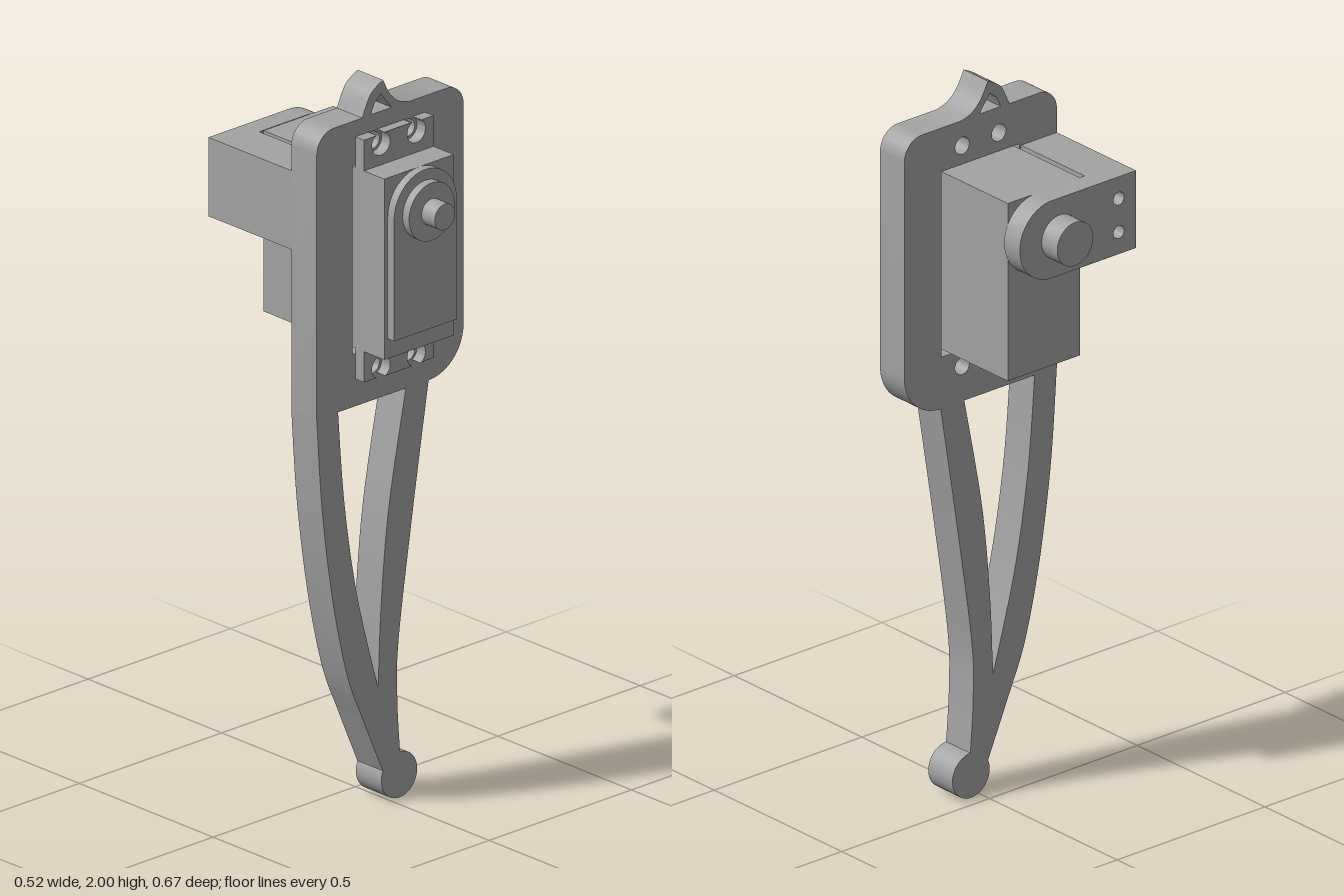
import * as THREE from 'three';
import { toCreasedNormals } from 'three/addons/utils/BufferGeometryUtils.js';

const grey = new THREE.MeshStandardMaterial({ color: 0xa3a3a3 });
grey.name = 'plain grey';

const AXIS_Y = 1.677; // height of the servo shaft
const MID_Y = 1.535;  // middle of the servo body

function add(parent, name, geometry) {
  const mesh = new THREE.Mesh(geometry, grey);
  mesh.name = name;
  parent.add(mesh);
  return mesh;
}

// Extrude a shape between two depths
function slab(parent, name, shape, z0, z1) {
  const g = new THREE.ExtrudeGeometry(shape, { depth: z1 - z0, bevelEnabled: false, curveSegments: 20 });
  g.translate(0, 0, z0);
  return add(parent, name, toCreasedNormals(g, 0.5));
}

function box(parent, name, x0, x1, y0, y1, z0, z1) {
  const g = new THREE.BoxGeometry(x1 - x0, y1 - y0, z1 - z0);
  g.translate((x0 + x1) / 2, (y0 + y1) / 2, (z0 + z1) / 2);
  return add(parent, name, g);
}

function disc(parent, name, x, y, r, z0, z1) {
  const g = new THREE.CylinderGeometry(r, r, z1 - z0, 48);
  g.rotateX(Math.PI / 2);
  g.translate(x, y, (z0 + z1) / 2);
  return add(parent, name, g);
}

const pts = (...list) => list.map(([x, y]) => new THREE.Vector2(x, y));
const circle = (x, y, r) => new THREE.Path().absarc(x, y, r, 0, Math.PI * 2, false);

// Mounting plate, hook and the two leg struts in one outline
function legFrame(parent) {
  const s = new THREE.Shape();
  s.moveTo(-0.258, 1.125);
  s.splineThru(pts([-0.238, 0.862], [-0.2, 0.6], [-0.15, 0.386], [-0.093, 0.245], [-0.026, 0.09]));
  s.lineTo(0.035, 0.12);
  s.splineThru(pts([0.025, 0.28], [0.03, 0.44], [0.08, 0.783], [0.135, 1.125]));
  s.absarc(0.135, 1.248, 0.123, -Math.PI / 2, 0, false);
  s.absarc(0.198, 1.855, 0.06, 0, Math.PI / 2, false);
  s.lineTo(0.065, 1.915);
  s.splineThru(pts([0.03, 1.927], [0, 1.955], [-0.025, 2]));
  s.splineThru(pts([-0.068, 1.973], [-0.098, 1.915]));
  s.absarc(-0.198, 1.855, 0.06, Math.PI / 2, Math.PI, false);
  s.closePath();

  const servoWindow = new THREE.Path(pts([-0.132, 1.27], [0.132, 1.27], [0.132, 1.792], [-0.132, 1.792]));
  const legGap = new THREE.Path();
  legGap.moveTo(-0.183, 1.125);
  legGap.splineThru(pts([-0.16, 0.862], [-0.116, 0.6], [-0.042, 0.323]));
  legGap.splineThru(pts([-0.032, 0.545], [-0.005, 0.81], [0.055, 1.125]));
  legGap.closePath();
  const hookGap = new THREE.Path(pts([-0.068, 1.916], [0.005, 1.916], [-0.032, 1.964], [-0.055, 1.945]));
  s.holes.push(servoWindow, legGap, hookGap);
  for (const x of [-0.062, 0.062])
    for (const y of [1.224, 1.844]) s.holes.push(circle(x, y, 0.024));

  slab(parent, 'legFrame', s, 0.035, 0.13);
  disc(parent, 'footBall', 0.032, 0.063, 0.063, 0.035, 0.13);
}

// Servo ear with two screw holes open to its outer edge
function servoEar(parent, name, turn) {
  const r = 0.032, slot = 0.015, cy = 0.309, top = 0.335;
  const a = Math.acos(slot / r);
  const s = new THREE.Shape();
  s.moveTo(-0.122, 0.25);
  s.lineTo(0.122, 0.25);
  s.lineTo(0.122, top);
  for (const x of [0.062, -0.062]) {
    s.lineTo(x + slot, top);
    s.absarc(x, cy, r, a, Math.PI - a, true);
    s.lineTo(x - slot, top);
  }
  s.lineTo(-0.122, top);
  s.closePath();
  const ear = slab(parent, name, s, 0.13, 0.162);
  ear.position.y = MID_Y;
  ear.rotation.z = turn;
}

function servo(parent) {
  box(parent, 'servoBody', -0.122, 0.122, 1.285, 1.785, -0.213, 0.238);
  servoEar(parent, 'upperEar', 0);
  servoEar(parent, 'lowerEar', Math.PI);

  const cover = new THREE.Shape();
  cover.moveTo(-0.11, 1.34);
  cover.lineTo(0.11, 1.34);
  cover.absarc(0, 1.675, 0.11, 0, Math.PI, false);
  cover.closePath();
  slab(parent, 'frontCover', cover, 0.238, 0.262);
  disc(parent, 'shaftCollar', 0, 1.675, 0.08, 0.262, 0.286);
  disc(parent, 'frontShaft', 0, 1.675, 0.036, 0.286, 0.335);
}

// Bracket reaching round behind the servo
function rearBracket(parent) {
  const r = 0.109;
  const s = new THREE.Shape();
  s.moveTo(-0.258, AXIS_Y - r);
  s.lineTo(0.026, AXIS_Y - r);
  s.absarc(0.026, AXIS_Y, r, -Math.PI / 2, Math.PI / 2, false);
  s.lineTo(-0.258, AXIS_Y + r);
  s.closePath();
  for (const dy of [-0.047, 0.047]) s.holes.push(circle(-0.2, AXIS_Y + dy, 0.018));
  slab(parent, 'bracketPlate', s, -0.275, -0.214);
  box(parent, 'bracketArm', -0.258, -0.137, AXIS_Y - r, AXIS_Y + r, -0.214, 0.035);
  disc(parent, 'rearShaft', 0, AXIS_Y, 0.061, -0.336, -0.275);
}

export function createModel() {
  const model = new THREE.Group();
  model.name = 'servoLeg';
  for (const [name, build] of [['frame', legFrame], ['servo', servo], ['rearBracket', rearBracket]]) {
    const part = new THREE.Group();
    part.name = name;
    build(part);
    model.add(part);
  }
  return model;
}
